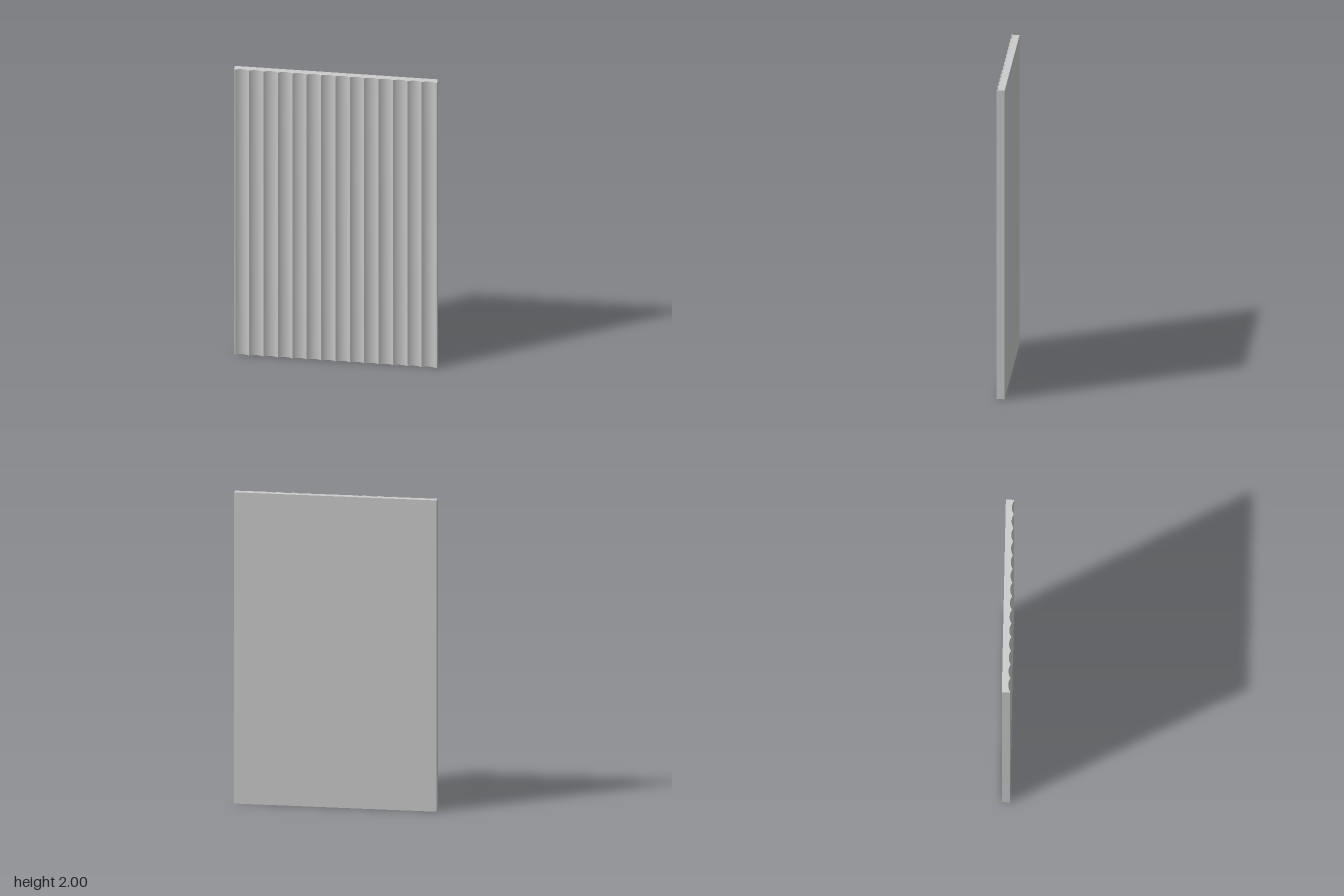
import * as THREE from 'three';
import { toCreasedNormals } from 'three/addons/utils/BufferGeometryUtils.js';

const HEIGHT = 2, HALF_WIDTH = 0.64, HALF_DEPTH = 0.026;
const FLUTES = 14, FLUTE_WIDTH = 0.0906, FLUTE_DEPTH = 0.013, STEPS = 8;

export function createModel() {
  const group = new THREE.Group();
  group.name = 'flutedPanel';

  // Plan outline: flat back and sides, shallow concave arcs along the front.
  // Shape y is -z, so the front edge has negative y.
  const half = FLUTE_WIDTH / 2;
  const radius = (half * half + FLUTE_DEPTH * FLUTE_DEPTH) / (2 * FLUTE_DEPTH);
  const sweep = Math.asin(half / radius);
  const outline = new THREE.Shape();
  outline.moveTo(-HALF_WIDTH, HALF_DEPTH);
  outline.lineTo(-HALF_WIDTH, -HALF_DEPTH);
  for (let i = 0; i < FLUTES; i++) {
    const centre = (i - (FLUTES - 1) / 2) * FLUTE_WIDTH;
    for (let j = i ? 1 : 0; j <= STEPS; j++) {
      const a = sweep * (2 * j / STEPS - 1);
      const hollow = FLUTE_DEPTH - radius * (1 - Math.cos(a));
      outline.lineTo(centre + radius * Math.sin(a), -HALF_DEPTH + hollow);
    }
  }
  outline.lineTo(HALF_WIDTH, -HALF_DEPTH);
  outline.lineTo(HALF_WIDTH, HALF_DEPTH);
  outline.closePath();

  // Extrude upwards; smooth inside each flute, sharp at the ridges
  const extruded = new THREE.ExtrudeGeometry(outline, { depth: HEIGHT, bevelEnabled: false });
  extruded.rotateX(-Math.PI / 2);
  const panel = new THREE.Mesh(
    toCreasedNormals(extruded, 0.5),
    new THREE.MeshStandardMaterial({ color: 0xcccccc })
  );
  panel.name = 'panel';
  group.add(panel);
  return group;
}
